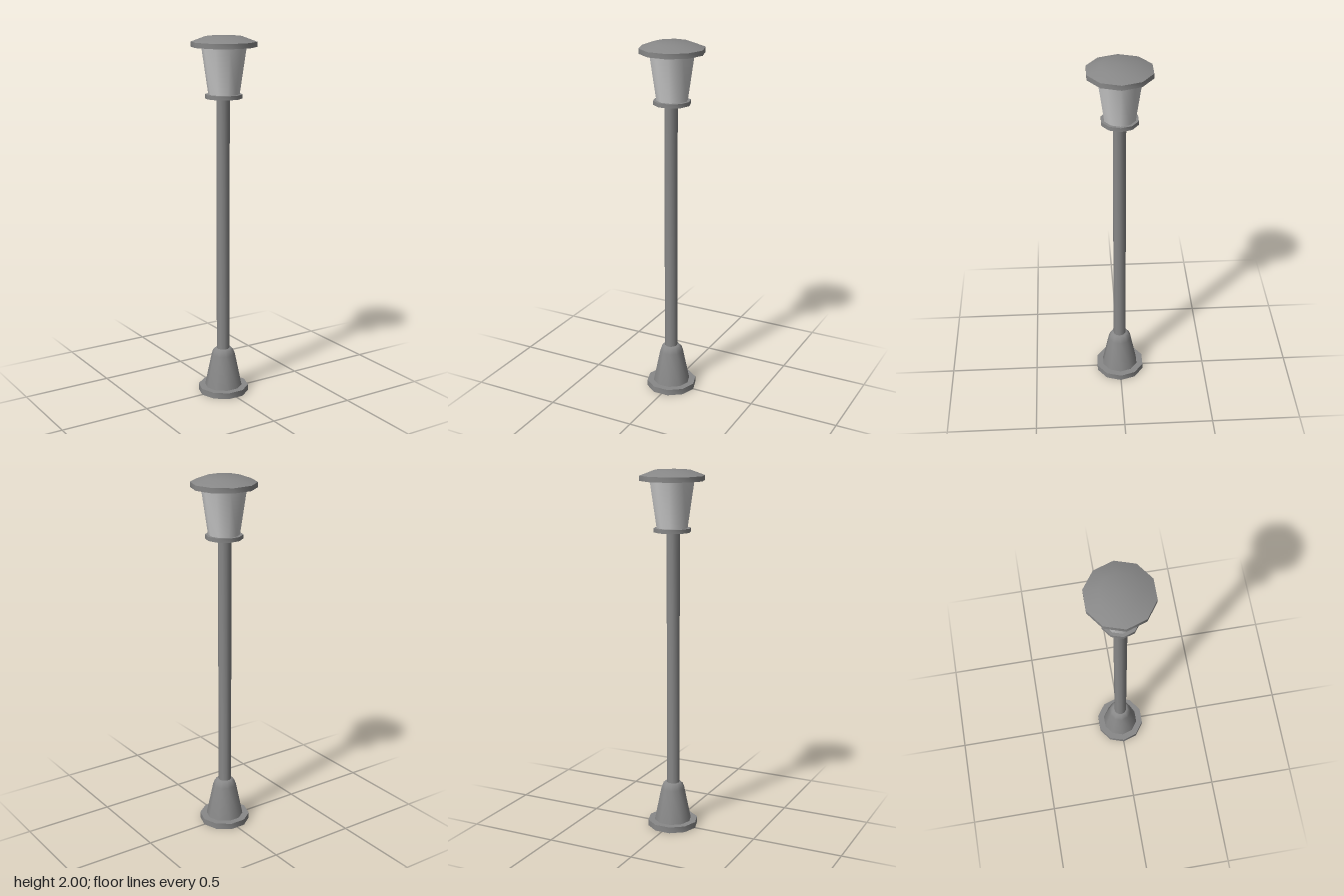
import * as THREE from 'three';
import { toCreasedNormals } from 'three/addons/utils/BufferGeometryUtils.js';

const SIDES = 10;

export function createModel() {
  const lampPost = new THREE.Group();
  lampPost.name = 'lampPost';
  const metal = new THREE.MeshStandardMaterial({ color: 0x888888, side: THREE.DoubleSide });
  const glass = new THREE.MeshStandardMaterial({ color: 0xe4e4e4, side: THREE.DoubleSide });

  // Ten-sided turned part with a corner on +x; profile is [radius, height] from bottom to top
  function turned(name, profile, x, z, material = metal) {
    const points = profile.map(([r, y]) => new THREE.Vector2(r, y));
    const lathe = new THREE.LatheGeometry(points, SIDES, Math.PI / 2);
    const mesh = new THREE.Mesh(toCreasedNormals(lathe, 0.72), material);
    mesh.name = name;
    mesh.position.set(x, 0, z);
    lampPost.add(mesh);
  }

  // Hollow foot: flange, tapered bell and rounded shoulder, open underneath
  turned('base', [
    [0.141, 0], [0.141, 0.034], [0.104, 0.034],
    [0.066, 0.22], [0.058, 0.243], [0.046, 0.255], [0.03, 0.257],
  ], -0.004, 0);

  turned('pole', [[0.036, 0.25], [0.036, 1.675]], -0.006, 0.001);

  // Plate that carries the lantern
  turned('collar', [[0, 1.67], [0.101, 1.67], [0.101, 1.692], [0, 1.692]], -0.001, 0);

  // Flared lantern body
  turned('lantern', [[0.084, 1.69], [0.121, 1.945]], 0, 0, glass);

  // Wide cap with a straight rim and a low sloping top
  turned('cap', [[0, 1.942], [0.176, 1.942], [0.176, 1.969], [0.1, 1.997], [0, 2]], 0, 0);

  return lampPost;
}
